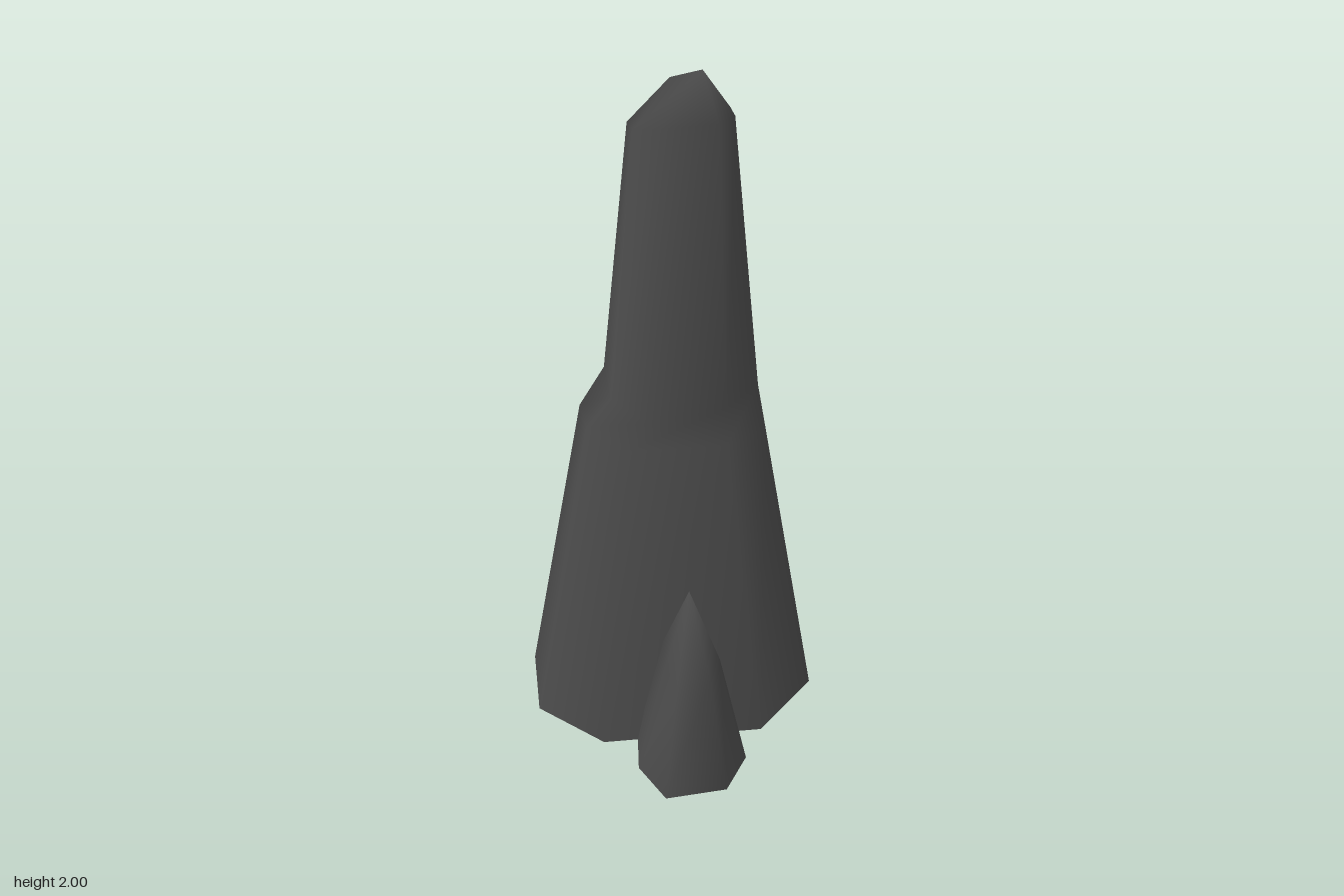
import * as THREE from 'three';
import { mergeVertices } from 'three/addons/utils/BufferGeometryUtils.js';

// Smooth open-bottomed skin through rings of [x, y, z] points, bottom to top
function loft(rings) {
  const n = rings[0].length;
  const index = [];
  for (let r = 0; r < rings.length - 1; r++) {
    for (let i = 0; i < n; i++) {
      const a = r * n + i, b = r * n + (i + 1) % n;
      index.push(a, a + n, b, b, a + n, b + n);
    }
  }
  const geo = new THREE.BufferGeometry();
  geo.setAttribute('position', new THREE.Float32BufferAttribute(rings.flat(2), 3));
  geo.setIndex(index);
  const merged = mergeVertices(geo, 1e-4);
  merged.computeVertexNormals();
  return merged;
}

// Put a list of [x, z] points at one height, or at one height per point
const level = (y, pts) => pts.map(([x, z], i) => [x, Array.isArray(y) ? y[i] : y, z]);

export function createModel() {
  const model = new THREE.Group();
  const stone = new THREE.MeshStandardMaterial({ color: 0x4a4a4a, side: THREE.DoubleSide });
  stone.name = 'dark stone';

  const addRock = (name, rings) => {
    const rock = new THREE.Mesh(loft(rings), stone);
    rock.name = name;
    model.add(rock);
  };

  // Tall pillar: wide foot, front ledge half way up, blunt ridge on top
  const peak = [0, 2, -0.085];
  const shoulder = [-0.08, 1.97, -0.04];
  addRock('tallPillar', [
    level(0, [[-0.49, -0.155], [-0.365, -0.35], [0.07, -0.445], [0.31, -0.295],
      [0.37, -0.02], [0.095, 0.385], [-0.16, 0.445], [-0.375, 0.305]]),
    level([0.94, 0.82, 0.93, 0.93, 0.94, 0.95, 0.99, 0.98],
      [[-0.30, -0.11], [-0.243, -0.215], [0.02, -0.255], [0.168, -0.198],
        [0.172, -0.04], [0.02, 0.205], [-0.11, 0.255], [-0.24, 0.18]]),
    level([1.06, 1.06, 1.06, 1.08, 1.06, 1.03, 1.06, 1.08],
      [[-0.289, -0.11], [-0.231, -0.196], [0.019, -0.245], [0.145, -0.182],
        [0.162, -0.043], [0.04, 0.15], [-0.10, 0.174], [-0.233, 0.09]]),
    level([1.82, 1.85, 1.88, 1.88, 1.88, 1.87, 1.85, 1.84],
      [[-0.215, -0.105], [-0.195, -0.137], [0.01, -0.178], [0.07, -0.14],
        [0.092, -0.063], [-0.003, 0.065], [-0.09, 0.082], [-0.172, 0.035]]),
    [shoulder, shoulder, peak, peak, peak, peak, shoulder, shoulder],
  ]);

  // Small pointed spike leaning against the foot
  addRock('smallSpike', [
    level(0, [[0.29, 0.03], [0.43, 0.10], [0.49, 0.235], [0.40, 0.395],
      [0.25, 0.375], [0.13, 0.28], [0.13, 0.14]]),
    level([0.38, 0.38, 0.37, 0.35, 0.37, 0.39, 0.40],
      [[0.28, 0.13], [0.37, 0.16], [0.412, 0.235], [0.365, 0.323],
        [0.28, 0.292], [0.205, 0.235], [0.19, 0.15]]),
    Array(7).fill([0.312, 0.63, 0.23]),
  ]);

  return model;
}
